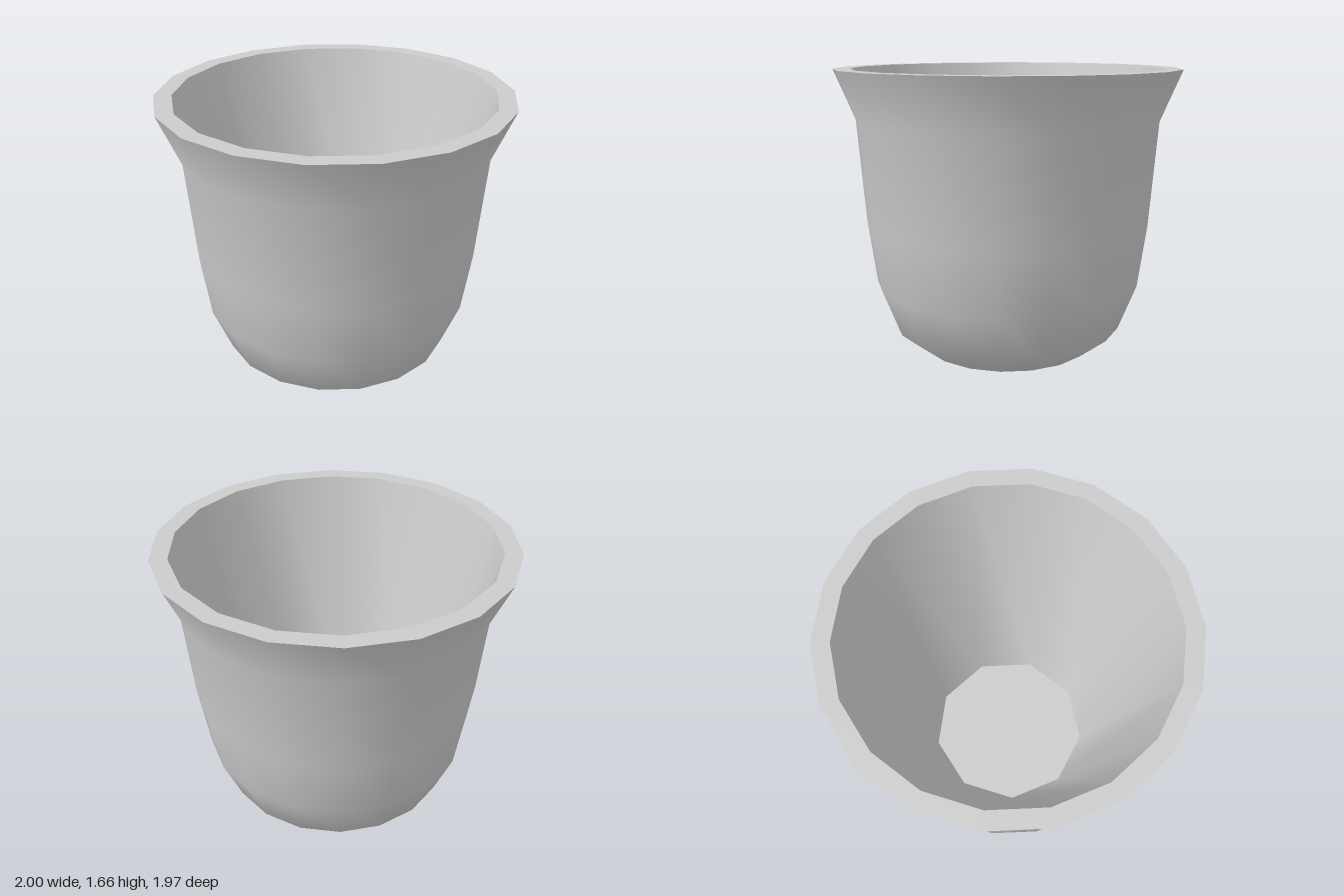
import * as THREE from 'three';

const SIDES = 18;
const HEIGHT = 1.66;
const RIM_INNER = 0.9;
const FLOOR_RADIUS = 0.49;
const FLOOR_Y = 0.1;

// Inner wall: an 18-sided rim ring narrowing to a 9-sided floor ring.
function innerWallGeometry() {
  const positions = [];
  const index = [];
  const addRing = (count, radius, y, offset) => {
    for (let i = 0; i < count; i++) {
      const a = offset + (i / count) * Math.PI * 2;
      positions.push(radius * Math.cos(a), y, radius * Math.sin(a));
    }
  };
  addRing(SIDES, RIM_INNER, HEIGHT, 0);
  addRing(SIDES / 2, FLOOR_RADIUS, FLOOR_Y, Math.PI / SIDES);

  for (let k = 0; k < SIDES / 2; k++) {
    const t0 = 2 * k;
    const t1 = t0 + 1;
    const t2 = (t0 + 2) % SIDES;
    const f0 = SIDES + k;
    const f1 = SIDES + ((k + 1) % (SIDES / 2));
    index.push(t0, f0, t1, t1, f0, f1, t1, f1, t2);
  }

  const geometry = new THREE.BufferGeometry();
  geometry.setAttribute('position', new THREE.Float32BufferAttribute(positions, 3));
  geometry.setIndex(index);
  geometry.computeVertexNormals();
  return geometry;
}

export function createModel() {
  const group = new THREE.Group();
  group.name = 'cup';
  const material = new THREE.MeshStandardMaterial({ color: 0xcccccc });

  const add = (name, geometry, y = 0) => {
    const mesh = new THREE.Mesh(geometry, material);
    mesh.name = name;
    mesh.position.y = y;
    group.add(mesh);
  };

  // Outer wall: rounded foot, nearly straight body and flared lip
  const profile = [
    [0.515, 0], [0.68, 0.13], [0.785, 0.4], [0.835, 0.77], [0.88, 1.37], [1, HEIGHT],
  ].map(([r, y]) => new THREE.Vector2(r, y));
  add('outerWall', new THREE.LatheGeometry(profile, SIDES, Math.PI / 2));

  // Flat rim, tapering inside, floor and underside
  add('rim', new THREE.RingGeometry(RIM_INNER, 1, SIDES).rotateX(-Math.PI / 2), HEIGHT);
  add('innerWall', innerWallGeometry());
  add('innerFloor',
    new THREE.CircleGeometry(FLOOR_RADIUS, SIDES / 2, -Math.PI / 2).rotateX(-Math.PI / 2), FLOOR_Y);
  add('base', new THREE.CircleGeometry(0.515, SIDES).rotateX(Math.PI / 2));

  return group;
}
